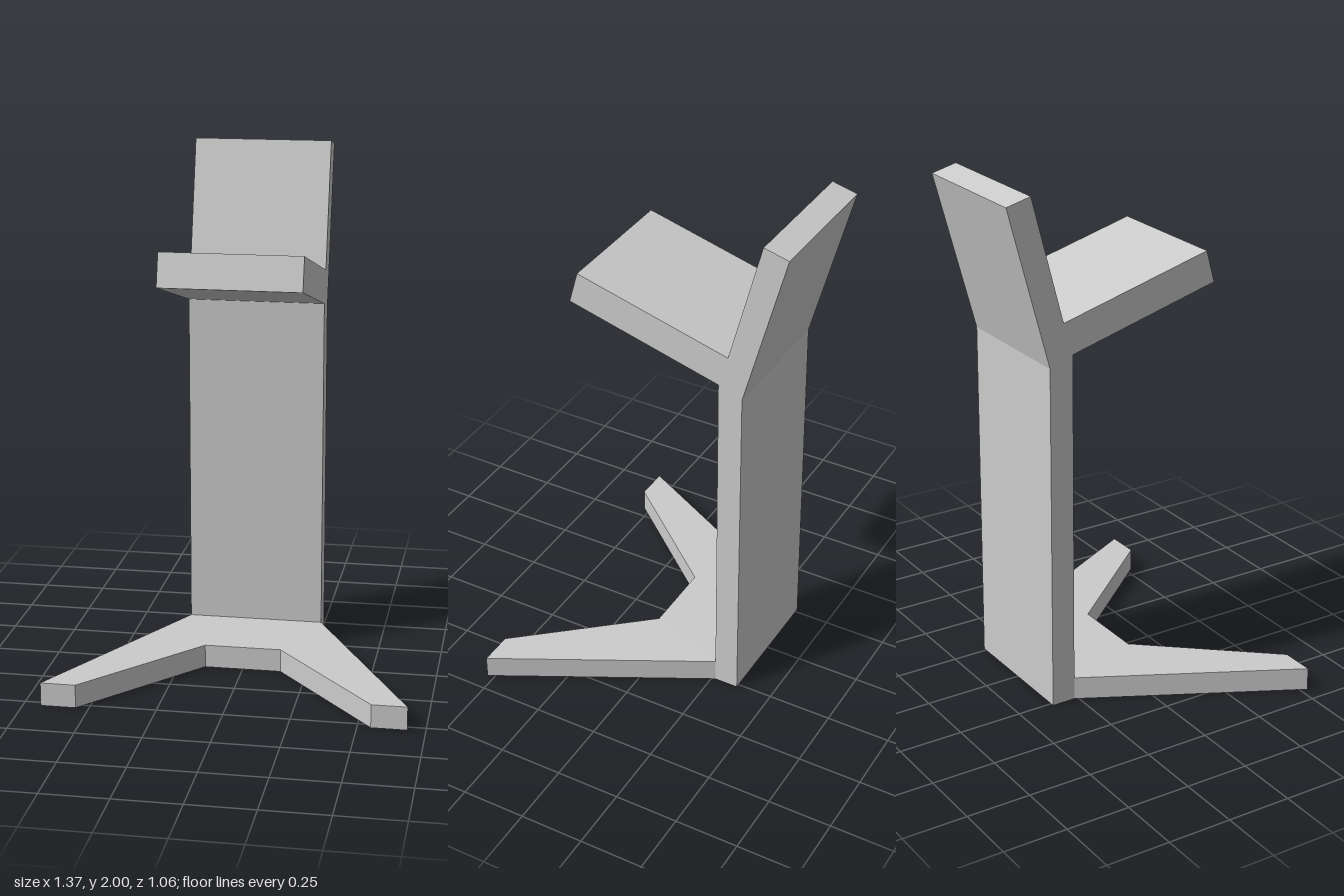
import * as THREE from 'three';

const material = new THREE.MeshStandardMaterial({ color: 0xcccccc, flatShading: true });

// Extrudes a closed outline by a given depth along z
function slab(points, depth) {
  const shape = new THREE.Shape(points.map(([a, b]) => new THREE.Vector2(a, b)));
  return new THREE.ExtrudeGeometry(shape, { depth, bevelEnabled: false });
}

function part(name, geometry) {
  const mesh = new THREE.Mesh(geometry, material);
  mesh.name = name;
  return mesh;
}

export function createModel() {
  const group = new THREE.Group();
  group.name = 'stand';
  const width = 0.53, baseHeight = 0.09;

  // Column, tilted shelf and leaning back rest share one side profile (z, y)
  const profile = [
    [-0.36, 0], [-0.265, 0], [-0.265, 1.395], // column front
    [0.345, 1.56], [0.31, 1.685], [-0.302, 1.52], // shelf
    [-0.43, 2], [-0.528, 1.975], [-0.36, 1.36], // back rest
  ];
  const body = slab(profile, width);
  body.translate(0, 0, -width / 2).rotateY(-Math.PI / 2);
  group.add(part('columnShelfAndBackRest', body));

  // Forked base: half outline (x, z), mirrored for the other foot
  const half = [[0.265, -0.265], [0.683, 0.528], [0.55, 0.528], [0.148, 0.055]];
  const mirrored = half.map(([x, z]) => [-x, z]).reverse();
  const base = slab([...half, ...mirrored], baseHeight);
  base.rotateX(Math.PI / 2).translate(0, baseHeight, 0);
  group.add(part('forkedBase', base));

  return group;
}
